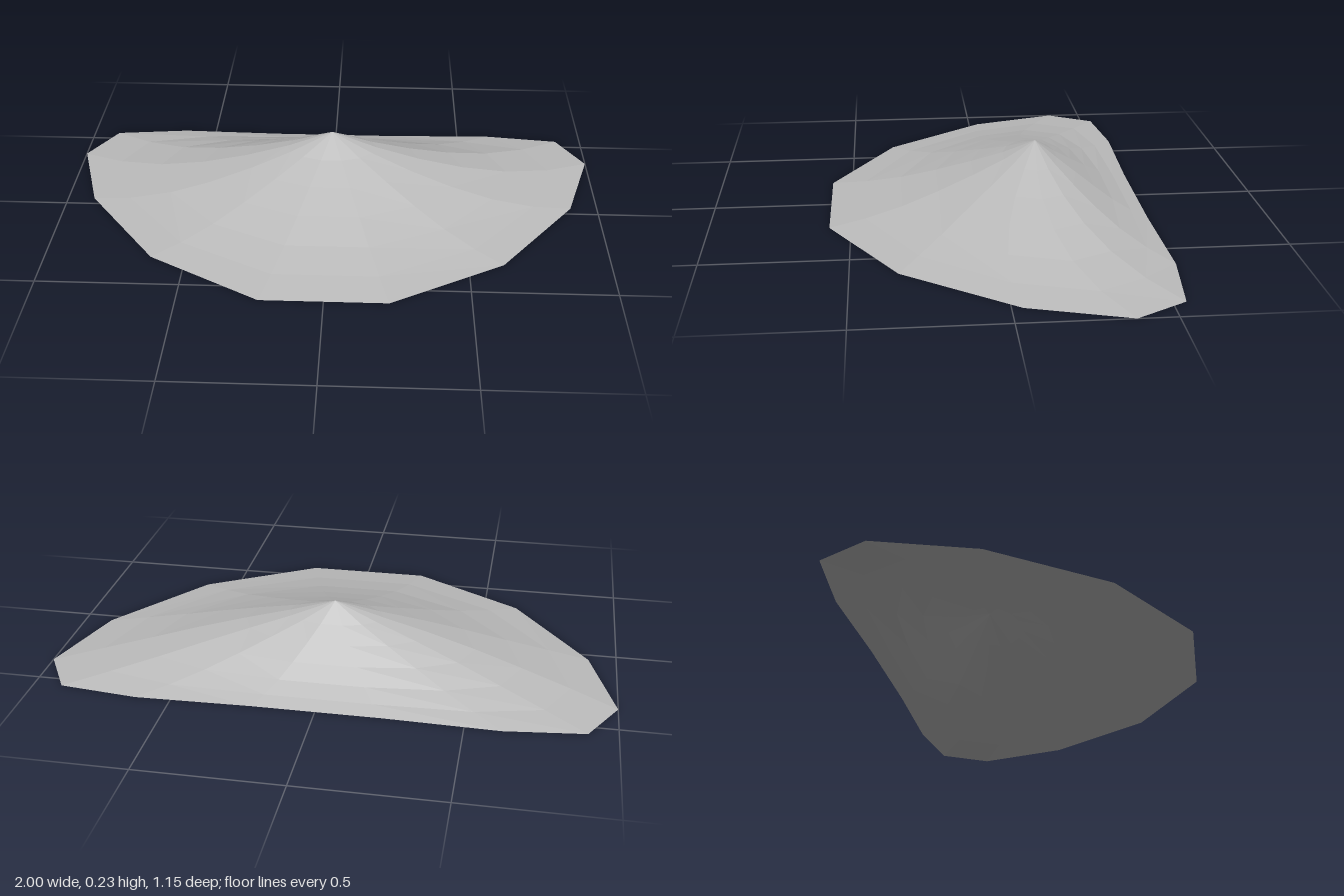
import * as THREE from 'three';

const SIDES = 14;
// rings from the peak to the rim: [radius fraction, height]
const RINGS = [[0, 0.23], [0.17, 0.173], [0.33, 0.128], [0.5, 0.084], [0.67, 0.045], [0.84, 0.017], [1, 0]];

// point on the swept-back cone: an ellipse whose ends bend towards the back
function shellPoint([s, y], i) {
  const a = ((i + 0.5) / SIDES) * Math.PI * 2;
  const x = s * Math.sin(a);
  const bend = -0.39 * Math.pow(Math.abs(x), 2.2);
  const shift = -0.18 + 0.2 * Math.pow(s, 1.3);
  return [x, y, 0.585 * s * Math.cos(a) + bend + shift];
}

export function createModel() {
  const group = new THREE.Group();
  group.name = 'bentConeShell';

  const shellGrey = new THREE.MeshStandardMaterial({ color: 0xbcbcbc, flatShading: true, side: THREE.DoubleSide });
  shellGrey.name = 'shell grey';

  // open shell, one band of facets between each pair of rings
  const positions = [];
  for (let r = 0; r < RINGS.length - 1; r++) {
    for (let i = 0; i < SIDES; i++) {
      const a = shellPoint(RINGS[r], i);
      const b = shellPoint(RINGS[r + 1], i);
      const c = shellPoint(RINGS[r + 1], i + 1);
      const d = shellPoint(RINGS[r], i + 1);
      positions.push(...a, ...b, ...c);
      if (r > 0) positions.push(...a, ...c, ...d);
    }
  }
  const geometry = new THREE.BufferGeometry();
  geometry.setAttribute('position', new THREE.Float32BufferAttribute(positions, 3));
  geometry.computeVertexNormals();

  const shell = new THREE.Mesh(geometry, shellGrey);
  shell.name = 'shell';
  group.add(shell);
  return group;
}
